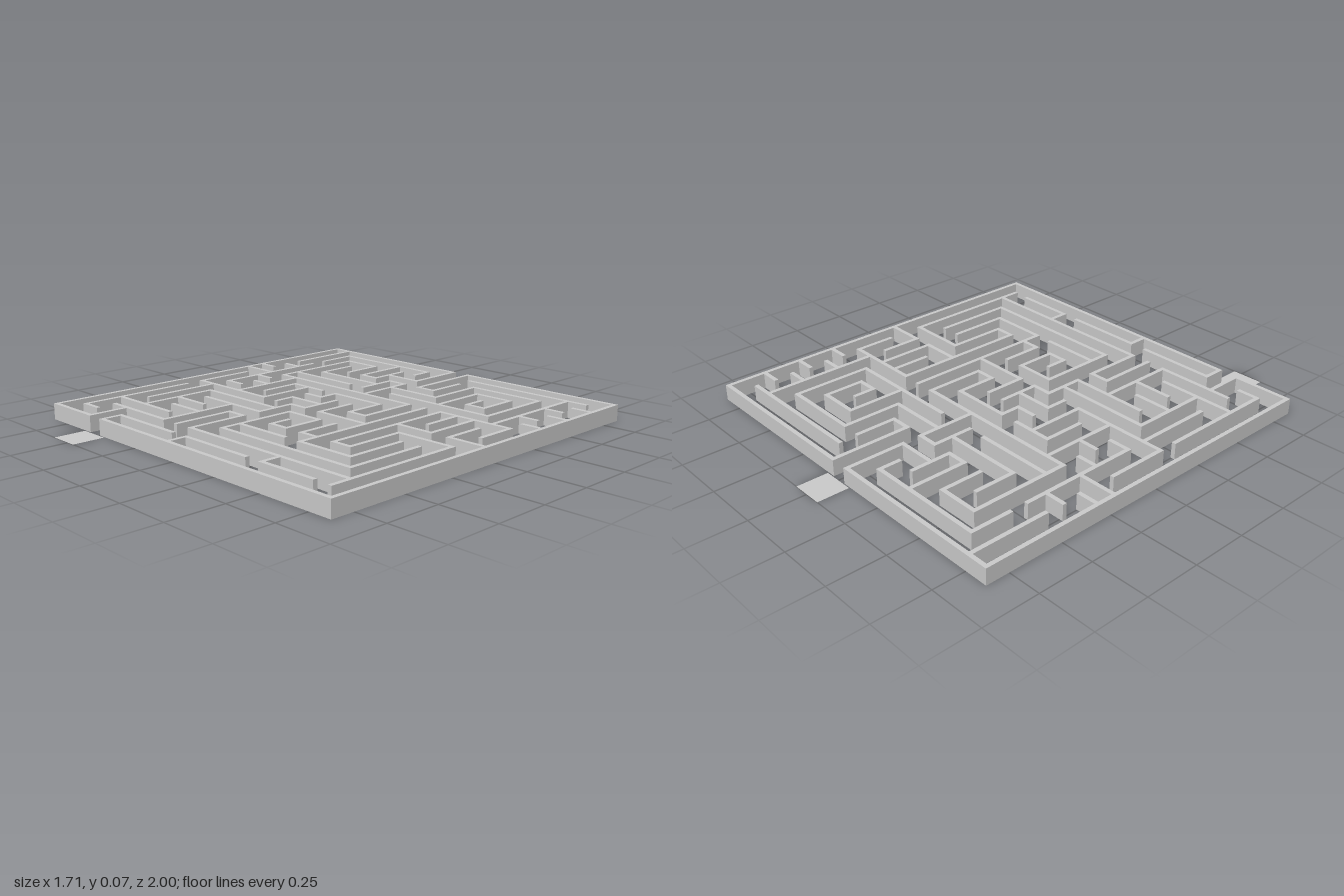
import * as THREE from 'three';
import { mergeGeometries } from 'three/addons/utils/BufferGeometryUtils.js';

const CELLS = 19;        // maze is 19 x 19 cells
const HALF = 0.844;      // centre line of the outer walls
const STEP = (2 * HALF) / CELLS;
const THICK = 0.019;
const HEIGHT = 0.071;
const PAD = 0.142;

const at = (i) => -HALF + i * STEP;

// Walls along x: one entry per grid line from back to front, "from-to" in cells
const ROWS = [
  '', '2-8 11-18', '3-5 12-16 18-19', '7-9 13-15 17-18',
  '6-7 8-9 10-11 18-19', '1-2 4-8 9-12 14-15 17-18', '0-1 3-7 10-16 18-19',
  '0-2 3-12 14-18', '2-3 5-7 8-11', '3-4 7-8',
  '2-3 7-9 11-12 14-16 17-19', '1-6 8-9 10-13 15-18', '3-8 9-11', '4-8',
  '3-5 7-8 10-11 12-13 14-15', '4-6 9-12 13-16', '1-5 9-17', '2-6 8-18',
  '1-2 4-8 9-13 14-17', '',
];

// Walls along z: one entry per grid line from -x to +x
const COLUMNS = [
  '', '0-4 8-11 12-18', '1-3 4-10 11-15', '2-7 12-16 17-19', '3-5 7-11 18-19',
  '2-4 8-10', '1-4 8-11 13-17', '2-4 10-11 14-17', '1-2 4-6 8-9 11-13 14-17',
  '0-3 4-7 9-11 12-16 18-19', '0-4 9-11 13-14', '2-4 8-10 12-14',
  '2-5 7-10 12-14', '3-6 7-15', '4-5 7-14 17-18', '3-5 7-9 11-14',
  '2-6 7-10 12-15', '1-7 8-10 12-16', '7-9 11-18', '',
];

// Outer frame, open at the entrance (back) and the exit (front)
const FRAME_ROWS = { 0: '0-9 10-19', 19: '0-3 4-19' };
const FRAME_COLUMNS = { 0: '0-19', 19: '0-19' };

function wallGeometry(line, from, to, alongX) {
  const length = (to - from) * STEP + THICK;
  const middle = at((from + to) / 2);
  const box = new THREE.BoxGeometry(alongX ? length : THICK, HEIGHT, alongX ? THICK : length);
  return box.translate(alongX ? middle : at(line), HEIGHT / 2, alongX ? at(line) : middle);
}

function wallsOf(lines, alongX) {
  return Object.entries(lines).flatMap(([line, spans]) =>
    spans.split(' ').filter(Boolean).map((span) => {
      const [from, to] = span.split('-').map(Number);
      return wallGeometry(Number(line), from, to, alongX);
    }));
}

export function createModel() {
  const model = new THREE.Group();
  model.name = 'maze';
  const wallMaterial = new THREE.MeshStandardMaterial({ color: 0xcccccc });
  const padMaterial = new THREE.MeshStandardMaterial({ color: 0xcccccc, side: THREE.DoubleSide });

  const addWalls = (name, rows, columns) => {
    const geometry = mergeGeometries([...wallsOf(rows, true), ...wallsOf(columns, false)]);
    const mesh = new THREE.Mesh(geometry, wallMaterial);
    mesh.name = name;
    model.add(mesh);
  };
  addWalls('outerWalls', FRAME_ROWS, FRAME_COLUMNS);
  addWalls('innerWalls', ROWS, COLUMNS);

  // Flat thresholds lying on the ground outside the two openings
  const addPad = (name, cell, side) => {
    const pad = new THREE.Mesh(new THREE.PlaneGeometry(PAD, PAD).rotateX(-Math.PI / 2), padMaterial);
    pad.name = name;
    pad.position.set(at(cell + 0.5), 0, side * (1 - PAD / 2));
    model.add(pad);
  };
  addPad('entrancePad', 9, -1);
  addPad('exitPad', 3, 1);

  return model;
}
